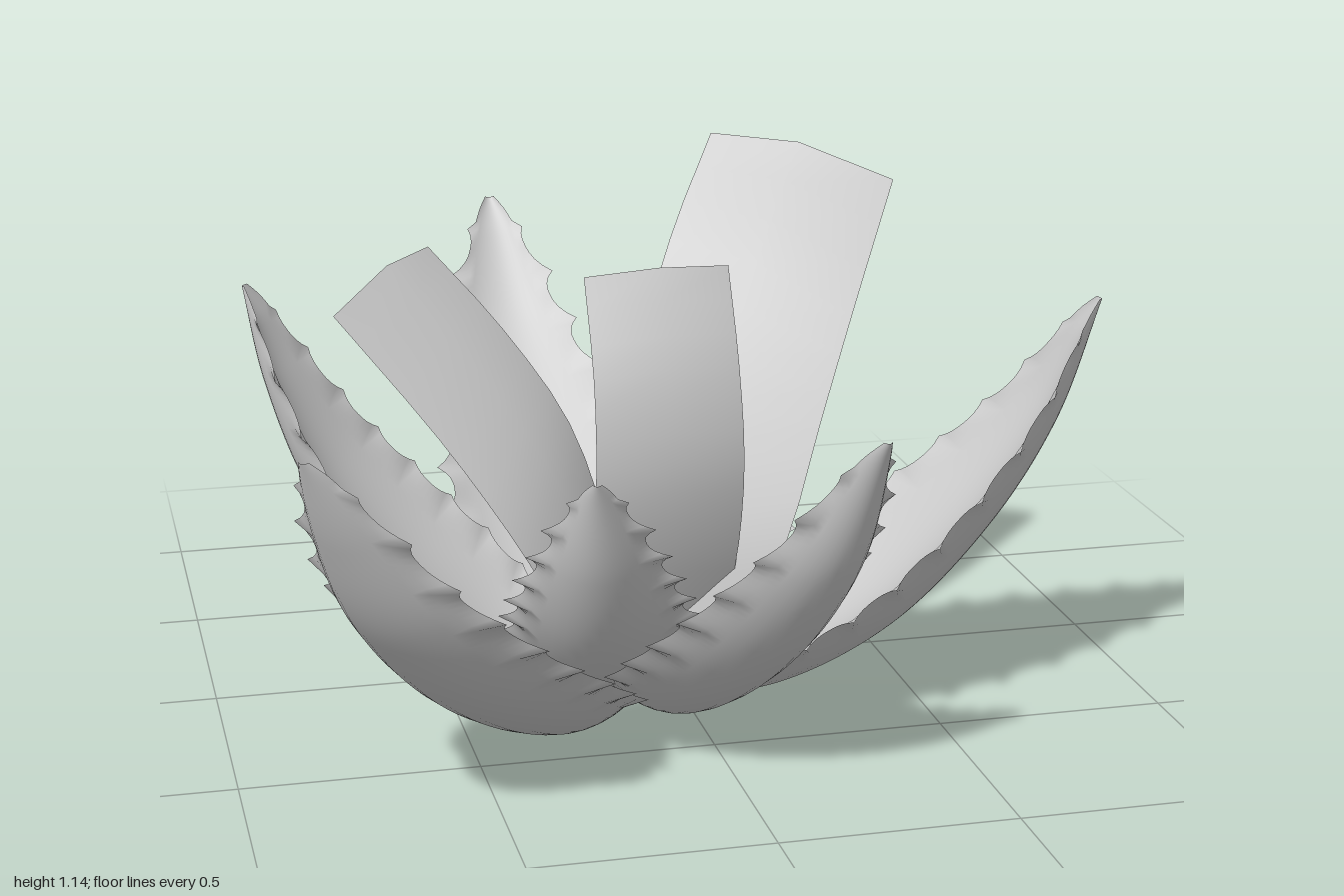
import * as THREE from 'three';

const material = new THREE.MeshStandardMaterial({ color: 0xcccccc, side: THREE.DoubleSide });
const path = (points) => new THREE.CatmullRomCurve3(points.map((p) => new THREE.Vector3(...p)));

// Surface grid: at(row, column) gives a point; flip turns the faces over
function grid(rows, cols, at, flip = false) {
  const positions = [], index = [];
  for (let i = 0; i <= rows; i++) {
    for (let j = 0; j <= cols; j++) positions.push(...at(i / rows, j / cols).toArray());
  }
  for (let i = 0; i < rows; i++) {
    for (let j = 0; j < cols; j++) {
      const a = i * (cols + 1) + j, b = a + 1, c = a + cols + 1, d = c + 1;
      if (flip) index.push(a, b, c, b, d, c);
      else index.push(a, c, b, b, c, d);
    }
  }
  const geometry = new THREE.BufferGeometry();
  geometry.setAttribute('position', new THREE.Float32BufferAttribute(positions, 3));
  geometry.setIndex(index);
  geometry.computeVertexNormals();
  return geometry;
}

// Relative half width of a leaf from base to tip
const widthCurve = path([
  [0, 0.35, 0], [0.1, 0.7, 0], [0.2, 0.9, 0], [0.35, 1, 0], [0.5, 0.94, 0],
  [0.65, 0.78, 0], [0.8, 0.53, 0], [0.9, 0.33, 0], [0.97, 0.16, 0], [1, 0.05, 0],
]);
const widthSamples = widthCurve.getPoints(300);
function widthAt(t) {
  const k = Math.max(1, widthSamples.findIndex((p) => p.x >= t - 1e-6));
  const a = widthSamples[k - 1], b = widthSamples[k];
  return THREE.MathUtils.lerp(a.y, b.y, THREE.MathUtils.clamp((t - a.x) / (b.x - a.x), 0, 1));
}

// Fleshy cupped leaf with spines along both edges; the path is its keel
function leaf(name, halfWidth, points) {
  const curve = path(points);
  const heading = curve.getPoint(1).sub(curve.getPoint(0)).setY(0).normalize();
  const side = new THREE.Vector3(0, 1, 0).cross(heading).normalize();
  const teeth = 10;
  const surface = (upper) => (t, u) => {
    const s = u * 2 - 1;
    const inward = curve.getTangentAt(t).cross(side).normalize();
    const w = halfWidth * widthAt(t);
    const f = (t * teeth) % 1;
    const spine = t > 0.08 && t < 0.95 ? 0.035 * Math.pow(1 - Math.abs(2 * f - 1), 2.5) : 0;
    const across = s * w + (Math.abs(s) > 0.999 ? Math.sign(s) * spine : 0);
    const ends = Math.min(1, t / 0.08, (1 - t) / 0.06);
    const thickness = upper ? 0.26 * w * Math.sqrt(Math.max(0, ends)) * (1 - s * s) : 0;
    const cup = 0.6 * w * s * s;
    return curve.getPointAt(t).addScaledVector(side, across).addScaledVector(inward, cup + thickness);
  };
  const group = new THREE.Group();
  group.name = name;
  for (const upper of [true, false]) {
    const mesh = new THREE.Mesh(grid(80, 14, surface(upper), !upper), material);
    mesh.name = upper ? 'leafUpperSide' : 'leafUnderside';
    group.add(mesh);
  }
  return group;
}

// Thin ribbon leaf between two edge paths, its middle raised by bow
function blade(name, left, right, bow) {
  const a = path(left), b = path(right), lift = new THREE.Vector3(...bow);
  const at = (t, u) => a.getPoint(t).lerp(b.getPoint(t), u)
    .addScaledVector(lift, 1 - Math.abs(2 * u - 1));
  const mesh = new THREE.Mesh(grid(12, 2, at), material);
  mesh.name = name;
  return mesh;
}

export function createModel() {
  const model = new THREE.Group();
  model.name = 'spikyRosettePlant';

  // Outer and inner spiny leaves
  model.add(
    leaf('backLeaf', 0.21, [[-0.2, 0.01, 0.13], [-0.2, 0.04, -0.06], [-0.2, 0.14, -0.24],
      [-0.2, 0.25, -0.42], [-0.2, 0.4, -0.61], [-0.2, 0.61, -0.82], [-0.2, 0.88, -1]]),
    leaf('leftLeaf', 0.26, [[-0.05, 0.02, 0.22], [0.2, 0.05, 0.25], [0.45, 0.18, 0.28],
      [0.66, 0.4, 0.31], [0.8, 0.63, 0.33], [0.89, 0.89, 0.345]]),
    leaf('frontLeftLeaf', 0.22, [[-0.1, 0.04, 0.27], [-0.03, 0.08, 0.48], [0.06, 0.25, 0.72],
      [0.15, 0.5, 0.89], [0.22, 0.8, 0.97]]),
    leaf('frontInnerLeaf', 0.18, [[-0.2, 0.06, 0.25], [-0.23, 0.12, 0.43], [-0.27, 0.28, 0.62],
      [-0.3, 0.48, 0.75], [-0.32, 0.71, 0.83]]),
    leaf('frontRightLeaf', 0.23, [[-0.2, 0.01, 0.27], [-0.36, 0.05, 0.45], [-0.58, 0.22, 0.7],
      [-0.75, 0.45, 0.87], [-0.84, 0.66, 0.95], [-0.9, 0.85, 1]]),
    leaf('rightLeaf', 0.25, [[-0.18, 0.02, 0.2], [-0.38, 0.06, 0.15], [-0.6, 0.24, 0.07],
      [-0.77, 0.48, 0], [-0.86, 0.72, -0.04], [-0.9, 0.92, -0.07]]),
    leaf('backInnerLeaf', 0.18, [[-0.02, 0.05, 0.15], [0.1, 0.14, 0.02], [0.2, 0.36, -0.11],
      [0.27, 0.65, -0.2], [0.31, 0.98, -0.23]]),
  );

  // Plain ribbon leaves in the heart, listed from top to base
  model.add(
    blade('leftBlade',
      [[0.2, 1.15, -0.34], [0.07, 0.94, -0.2], [-0.06, 0.62, -0.06], [-0.12, 0.32, 0.03], [-0.13, 0.12, 0.08]],
      [[0.58, 1.06, -0.16], [0.43, 0.8, 0.03], [0.33, 0.58, 0.13], [0.24, 0.35, 0.2], [0.13, 0.12, 0.2]],
      [-0.01, 0.035, 0.01]),
    blade('rightBlade',
      [[-0.73, 0.89, 0.12], [-0.53, 0.64, 0.23], [-0.4, 0.45, 0.3], [-0.3, 0.28, 0.31], [-0.2, 0.12, 0.26]],
      [[-0.48, 0.955, -0.19], [-0.33, 0.78, -0.1], [-0.2, 0.58, -0.02], [-0.13, 0.35, 0.04], [-0.1, 0.12, 0.08]],
      [0.01, 0.035, 0.01]),
    blade('middleBlade',
      [[-0.2, 0.95, 0.145], [-0.2, 0.75, 0.24], [-0.2, 0.55, 0.26], [-0.2, 0.35, 0.22], [-0.18, 0.15, 0.14]],
      [[0.125, 0.95, 0.11], [0.125, 0.75, 0.21], [0.13, 0.55, 0.24], [0.13, 0.35, 0.2], [0.12, 0.15, 0.12]],
      [0, 0.015, 0.03]),
  );
  return model;
}
